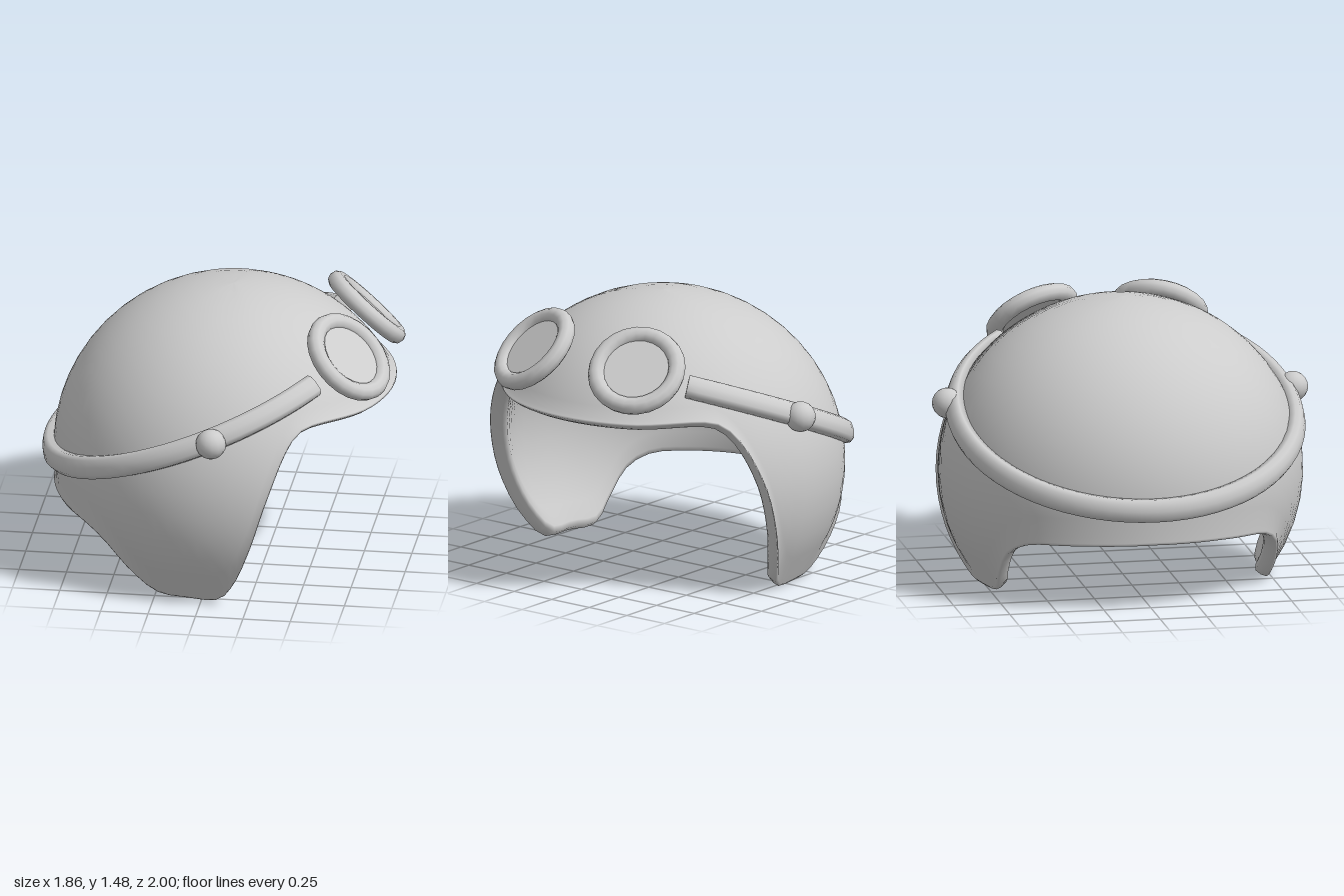
import * as THREE from 'three';

// Ellipsoid that the whole shell follows
const C = new THREE.Vector3(0.06, 0.55, 0);
const R = new THREE.Vector3(0.94, 0.92, 0.955);
const onDome = (theta, phi, s = 1) => new THREE.Vector3(
  Math.sin(phi) * Math.cos(theta), Math.cos(phi), Math.sin(phi) * Math.sin(theta)
).multiplyScalar(s).multiply(R).add(C);

// Skin a grid of points: rows run along the part, columns go round or across it
function skin(rows, closeRows, closeCols) {
  const nj = rows.length, nk = rows[0].length, pos = [], idx = [];
  rows.forEach(r => r.forEach(p => pos.push(p.x, p.y, p.z)));
  for (let j = 0; j < (closeRows ? nj : nj - 1); j++) {
    for (let k = 0; k < (closeCols ? nk : nk - 1); k++) {
      const j2 = (j + 1) % nj, k2 = (k + 1) % nk;
      const a = j * nk + k, b = j2 * nk + k, c = j2 * nk + k2, d = j * nk + k2;
      idx.push(a, b, d, b, c, d);
    }
  }
  const g = new THREE.BufferGeometry();
  g.setAttribute('position', new THREE.Float32BufferAttribute(pos, 3));
  g.setIndex(idx);
  g.computeVertexNormals();
  return g;
}

// Shell: meridians from the crown to a shaped rim, then back up inside
function shellGeometry() {
  const rim = [[0.52, 0.955], [0.45, 0.87], [0.36, 0.63], [0.26, 0.32], [0.18, 0.13], [0.09, 0.01],
    [-0.08, 0.005], [-0.24, 0.01], [-0.38, 0.13], [-0.5, 0.26], [-0.61, 0.33], [-0.75, 0.35]];
  const pts = rim.map(([x, y]) => {
    const u = (x - C.x) / R.x, v = (y - C.y) / R.y;
    return new THREE.Vector3(Math.atan2(Math.sqrt(1 - u * u - v * v), u), Math.acos(v), 0);
  });
  const front = Math.acos((0.955 - C.y) / R.y), back = Math.acos((0.36 - C.y) / R.y);
  pts.unshift(new THREE.Vector3(0, front, 0), new THREE.Vector3(0.45, front, 0));
  pts.push(new THREE.Vector3(Math.PI, back, 0));
  const M = 48;
  const half = new THREE.CatmullRomCurve3(pts).getSpacedPoints(M);
  const profile = [];
  for (let i = 0; i <= 16; i++) profile.push([i / 16 * 0.97, 1]);
  profile.push([0.99, 1.015], [1, 1.01], [1.005, 0.98], [1.005, 0.94], [0.99, 0.92]);
  for (let i = 15; i >= 0; i--) profile.push([i / 16, 0.92]);
  const rows = [];
  for (let j = 0; j < 2 * M; j++) {
    const p = j <= M ? half[j] : half[2 * M - j];
    const theta = j <= M ? p.x : -p.x;
    rows.push(profile.map(([t, s]) => onDome(theta, p.y * t, s)));
  }
  return skin(rows, true, false);
}

// Strap: a rounded band along a tilted plane, open at the front
function strapGeometry() {
  const a = 0.42, b = 0.419, start = 0.83, N = 56, path = [];
  for (let i = 0; i <= N; i++) {
    const th = start + (2 * Math.PI - 2 * start) * i / N, c = Math.cos(th);
    const A = 1 + b * b * c * c, B = 2 * a * b * c;
    const r = (-B + Math.sqrt(B * B - 4 * A * (a * a - 1))) / (2 * A);
    path.push(onDome(th, Math.acos(a + b * r * c)));
  }
  const section = [[-0.02, 0.06], [0.03, 0.06], [0.052, 0.04], [0.058, 0], [0.052, -0.04],
    [0.03, -0.06], [-0.02, -0.06]];
  const rows = path.map((p, i) => {
    const T = path[Math.min(i + 1, N)].clone().sub(path[Math.max(i - 1, 0)]).normalize();
    const n = p.clone().sub(C).divide(R).divide(R).normalize();
    const up = T.clone().cross(n).normalize();
    return section.map(([o, h]) => p.clone().addScaledVector(n, o).addScaledVector(up, h));
  });
  // End caps
  const cap = (row, p) => row.map(() => p.clone());
  const first = rows[0], last = rows[N];
  return skin([cap(first, path[0]), first.map(p => p.clone()), ...rows,
    last.map(p => p.clone()), cap(last, path[N])], false, true);
}

export function createModel() {
  const group = new THREE.Group();
  const grey = new THREE.MeshStandardMaterial({ color: 0xcccccc });
  grey.name = 'plain grey';
  const add = (parent, name, geometry) => {
    const m = new THREE.Mesh(geometry, grey);
    m.name = name;
    parent.add(m);
    return m;
  };

  add(group, 'helmetShell', shellGeometry());
  add(group, 'goggleStrap', strapGeometry());

  for (const side of [1, -1]) {
    const label = side > 0 ? 'left' : 'right';

    // Goggle eyepiece: ring with a flat lens, facing up and outward
    const goggle = new THREE.Group();
    goggle.name = label + 'Goggle';
    goggle.position.set(0.715, 1.23, 0.34 * side);
    goggle.quaternion.setFromUnitVectors(new THREE.Vector3(0, 0, 1),
      new THREE.Vector3(0.64, 0.71, 0.29 * side).normalize());
    add(goggle, label + 'GoggleRing', new THREE.TorusGeometry(0.213, 0.046, 10, 24));
    add(goggle, label + 'Lens', new THREE.CylinderGeometry(0.2, 0.2, 0.03, 24).rotateX(Math.PI / 2));
    group.add(goggle);

    // Strap stud
    add(group, label + 'Stud', new THREE.SphereGeometry(0.08, 14, 10)).position.set(0.07, 0.94, 0.92 * side);
  }
  return group;
}
